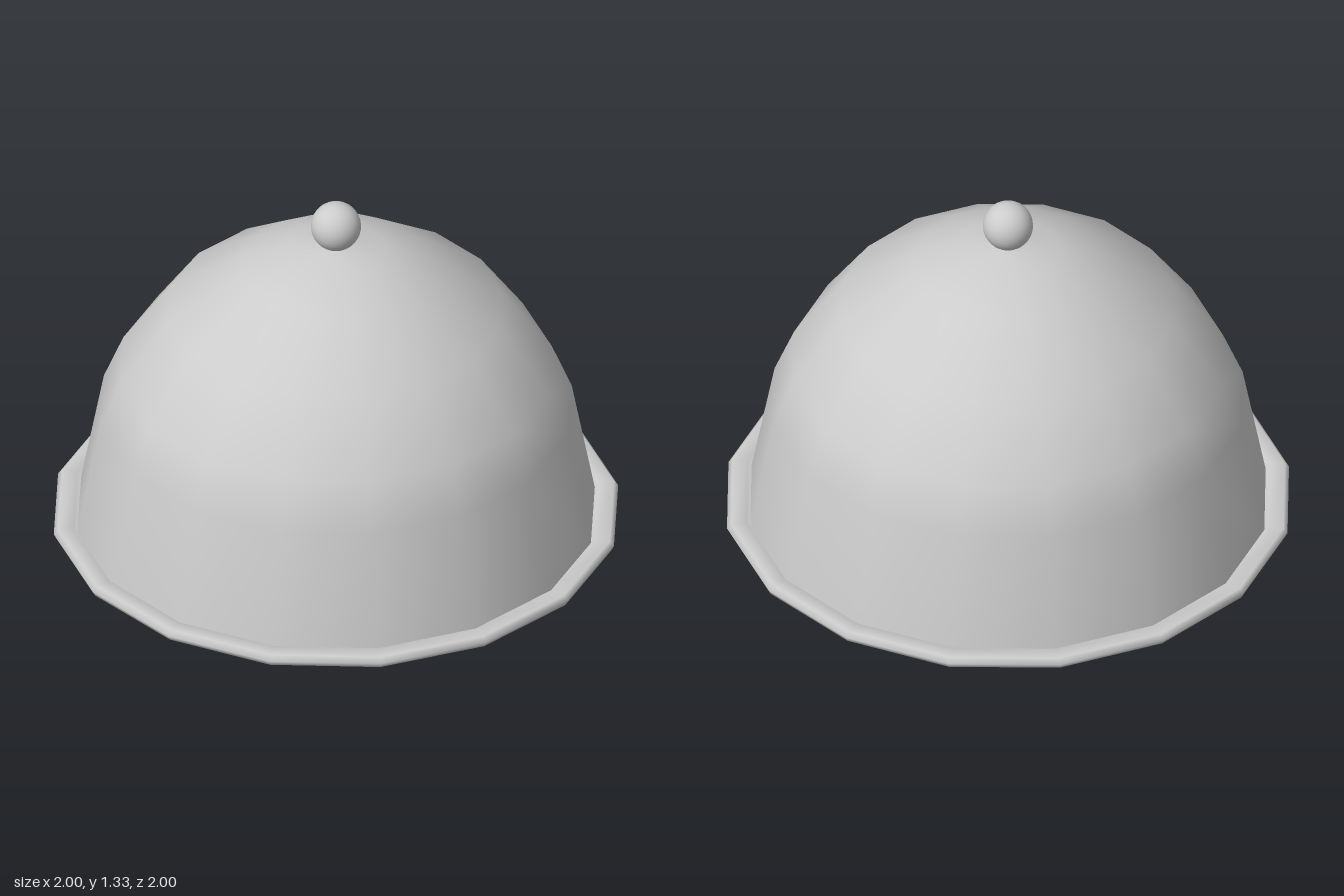
import * as THREE from 'three';

const SIDES = 16;

// Named mesh turned from a profile of [radius, height] pairs
function turned(name, profile, material) {
  const points = profile.map(([r, y]) => new THREE.Vector2(r, y));
  const mesh = new THREE.Mesh(new THREE.LatheGeometry(points, SIDES), material);
  mesh.name = name;
  return mesh;
}

export function createModel() {
  const model = new THREE.Group();
  model.name = 'domedDish';
  const grey = new THREE.MeshStandardMaterial({ color: 0xcccccc });
  const greyOpen = new THREE.MeshStandardMaterial({ color: 0xcccccc, side: THREE.DoubleSide });

  // Shallow plate with a raised rim around a recessed floor
  model.add(turned('plate', [
    [0, 0], [0.91, 0.002], [0.99, 0.035], [1, 0.055], [0.985, 0.073],
    [0.93, 0.075], [0.91, 0.045], [0, 0.045],
  ], grey));

  // Domed cover, open at the foot and resting in the plate
  model.add(turned('cover', [
    [0.918, 0.05], [0.835, 0.49], [0.765, 0.66], [0.594, 0.9],
    [0.337, 1.077], [0.176, 1.142], [0, 1.168],
  ], greyOpen));

  // Round knob on top
  const knob = new THREE.Mesh(new THREE.SphereGeometry(0.088, 32, 16), grey);
  knob.name = 'knob';
  knob.position.y = 1.24;
  model.add(knob);

  return model;
}
